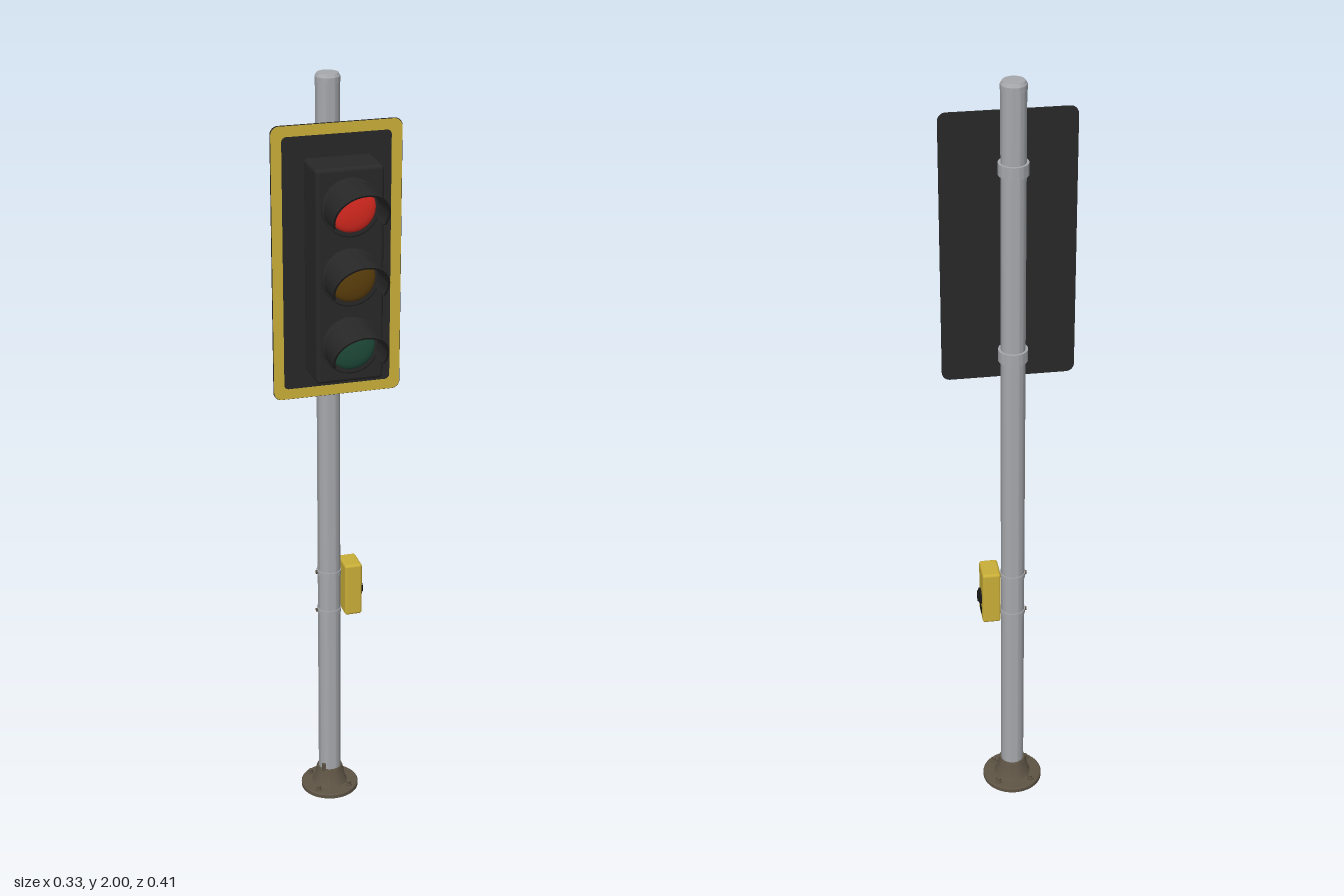
import * as THREE from 'three';
import { toCreasedNormals } from 'three/addons/utils/BufferGeometryUtils.js';
import { RoundedBoxGeometry } from 'three/addons/geometries/RoundedBoxGeometry.js';

const mat = (name, color) => {
  const m = new THREE.MeshStandardMaterial({ color });
  m.name = name;
  return m;
};
const M = {
  steel: mat('galvanised steel', 0xa6a8ac),
  iron: mat('cast iron', 0x5e5445),
  dark: mat('dark housing', 0x282828),
  yellow: mat('yellow', 0xc9ae38),
  black: mat('black', 0x161616),
  red: mat('red lens', 0xdc2a20),
  amber: mat('amber lens', 0x5e400c),
  green: mat('green lens', 0x1f4d3c),
};
const POLE_Z = -0.13;

function add(parent, name, geo, material, x = 0, y = 0, z = 0) {
  const mesh = new THREE.Mesh(geo, material);
  mesh.name = name;
  mesh.position.set(x, y, z);
  parent.add(mesh);
  return mesh;
}

// Lathe around y from [radius, height] pairs, with sharp edges kept
function turned(points, segments = 40) {
  const pts = points.map(([r, y]) => new THREE.Vector2(r, y));
  return toCreasedNormals(new THREE.LatheGeometry(pts, segments), 0.5);
}

function roundedRect(w, h, r, Type = THREE.Shape) {
  const s = new Type(), x = w / 2, y = h / 2;
  s.moveTo(-x + r, -y);
  s.lineTo(x - r, -y).absarc(x - r, -y + r, r, -Math.PI / 2, 0);
  s.lineTo(x, y - r).absarc(x - r, y - r, r, 0, Math.PI / 2);
  s.lineTo(-x + r, y).absarc(-x + r, y - r, r, Math.PI / 2, Math.PI);
  s.lineTo(-x, -y + r).absarc(-x + r, -y + r, r, Math.PI, Math.PI * 1.5);
  return s;
}

// Open-bottomed hood: an arc of tube whose front end is cut on a slant
function visorGeometry() {
  const N = 32, rOut = 0.068, rIn = 0.063, back = 0.066, pos = [], idx = [];
  const from = THREE.MathUtils.degToRad(-23), to = Math.PI - from;
  for (let i = 0; i <= N; i++) {
    const a = from + (to - from) * i / N;
    const point = (r, front) => {
      const y = r * Math.sin(a);
      pos.push(r * Math.cos(a), y, front ? 0.162 + 0.65 * y : back);
    };
    point(rOut, false);
    point(rOut, true);
    point(rIn, true);
    point(rIn, false);
    if (i < N) {
      for (let k = 0; k < 4; k++) {
        const p = i * 4 + k, q = i * 4 + (k + 1) % 4;
        idx.push(p, p + 4, q + 4, p, q + 4, q);
      }
    }
  }
  const e = N * 4;
  idx.push(0, 1, 2, 0, 2, 3, e, e + 2, e + 1, e, e + 3, e + 2);
  const g = new THREE.BufferGeometry();
  g.setAttribute('position', new THREE.Float32BufferAttribute(pos, 3));
  g.setIndex(idx);
  return toCreasedNormals(g, 0.6);
}

function buildBase() {
  const base = new THREE.Group();
  base.name = 'base';
  base.position.z = POLE_Z;
  add(base, 'baseFlange', turned([[0, 0], [0.078, 0], [0.078, 0.01], [0.075, 0.013], [0.048, 0.015],
    [0.044, 0.02], [0.036, 0.058], [0.034, 0.064], [0.028, 0.064]], 48), M.iron);
  for (const x of [-0.043, 0.043]) for (const z of [-0.043, 0.043]) {
    add(base, 'anchorWasher', new THREE.CylinderGeometry(0.009, 0.009, 0.004, 20), M.iron, x, 0.016, z);
    add(base, 'anchorNut', new THREE.CylinderGeometry(0.006, 0.006, 0.008, 6), M.iron, x, 0.021, z);
  }
  add(base, 'groundLug', new THREE.BoxGeometry(0.009, 0.024, 0.009), M.iron, -0.022, 0.07, 0.023);
  return base;
}

function buildPole() {
  const pole = new THREE.Group();
  pole.name = 'pole';
  pole.position.z = POLE_Z;
  add(pole, 'poleTube', turned([[0.03, 0.02], [0.03, 1.98]]), M.steel);
  add(pole, 'poleCap', turned([[0.03, 1.978], [0.031, 1.978], [0.031, 1.992], [0.026, 2], [0, 2]]), M.steel);
  // Clamps and arms carrying the signal head
  for (const y of [1.31, 1.79]) {
    add(pole, 'clampBand', turned([[0.03, -0.015], [0.036, -0.015], [0.036, 0.015], [0.03, 0.015]]), M.steel, 0, y);
    add(pole, 'bracketArm', new RoundedBoxGeometry(0.026, 0.024, 0.054, 2, 0.003), M.steel, 0, y, 0.054);
    for (const x of [-0.016, 0.016]) {
      const bolt = add(pole, 'bracketBolt', new THREE.CylinderGeometry(0.006, 0.006, 0.006, 6), M.steel, x, y, 0.045);
      bolt.rotation.z = Math.PI / 2;
    }
  }
  return pole;
}

function buildSignal() {
  const signal = new THREE.Group();
  signal.name = 'signalHead';
  // Backplate with its reflective border
  const plate = new THREE.ExtrudeGeometry(roundedRect(0.326, 0.692, 0.02),
    { depth: 0.004, bevelEnabled: false, curveSegments: 6 });
  add(signal, 'backplate', plate, M.dark, 0, 1.554, -0.053);
  const border = roundedRect(0.324, 0.69, 0.02);
  border.holes.push(roundedRect(0.272, 0.638, 0.012, THREE.Path));
  add(signal, 'reflectiveBorder', new THREE.ExtrudeGeometry(border,
    { depth: 0.001, bevelEnabled: false, curveSegments: 6 }), M.yellow, 0, 1.554, -0.049);

  add(signal, 'housing', new RoundedBoxGeometry(0.168, 0.535, 0.113, 3, 0.01), M.dark, 0, 1.554, 0.0105);

  const visor = visorGeometry();
  const rim = turned([[0.071, 0], [0.071, 0.014], [0.068, 0.016], [0.058, 0.016], [0, 0.014]]).rotateX(Math.PI / 2);
  const lens = new THREE.SphereGeometry(1, 36, 10, 0, Math.PI * 2, 0, Math.PI / 2)
    .rotateX(Math.PI / 2).scale(0.059, 0.059, 0.014);
  [['red', 1.727], ['amber', 1.555], ['green', 1.383]].forEach(([color, y]) => {
    add(signal, color + 'Rim', rim, M.dark, 0, y, 0.062);
    add(signal, color + 'Lens', lens, M[color], 0, y, 0.077);
    add(signal, color + 'Visor', visor, M.dark, 0, y, 0);
  });
  return signal;
}

function buildPushButton() {
  const box = new THREE.Group();
  box.name = 'pushButtonUnit';
  box.position.set(0, 0.62, POLE_Z);
  add(box, 'buttonCase', new RoundedBoxGeometry(0.047, 0.148, 0.072, 3, 0.007), M.yellow, 0.0585);
  const button = add(box, 'button', turned([[0.021, 0], [0.021, 0.005], [0.016, 0.007], [0.013, 0.01], [0, 0.01]]),
    M.black, 0.081, -0.012);
  button.rotation.z = -Math.PI / 2;
  add(box, 'buttonLabel', new THREE.BoxGeometry(0.004, 0.02, 0.028), M.black, 0.081, -0.049);
  // Straps round the pole, each with a screw
  for (const y of [-0.064, 0.05]) {
    add(box, 'strap', turned([[0.03, -0.006], [0.0325, -0.006], [0.0325, 0.006], [0.03, 0.006]]), M.steel, 0, y);
    const screw = add(box, 'strapScrew', new THREE.CylinderGeometry(0.005, 0.005, 0.006, 12), M.iron, -0.033, y);
    screw.rotation.z = Math.PI / 2;
  }
  return box;
}

export function createModel() {
  const model = new THREE.Group();
  model.name = 'trafficLight';
  model.add(buildBase(), buildPole(), buildSignal(), buildPushButton());
  return model;
}
